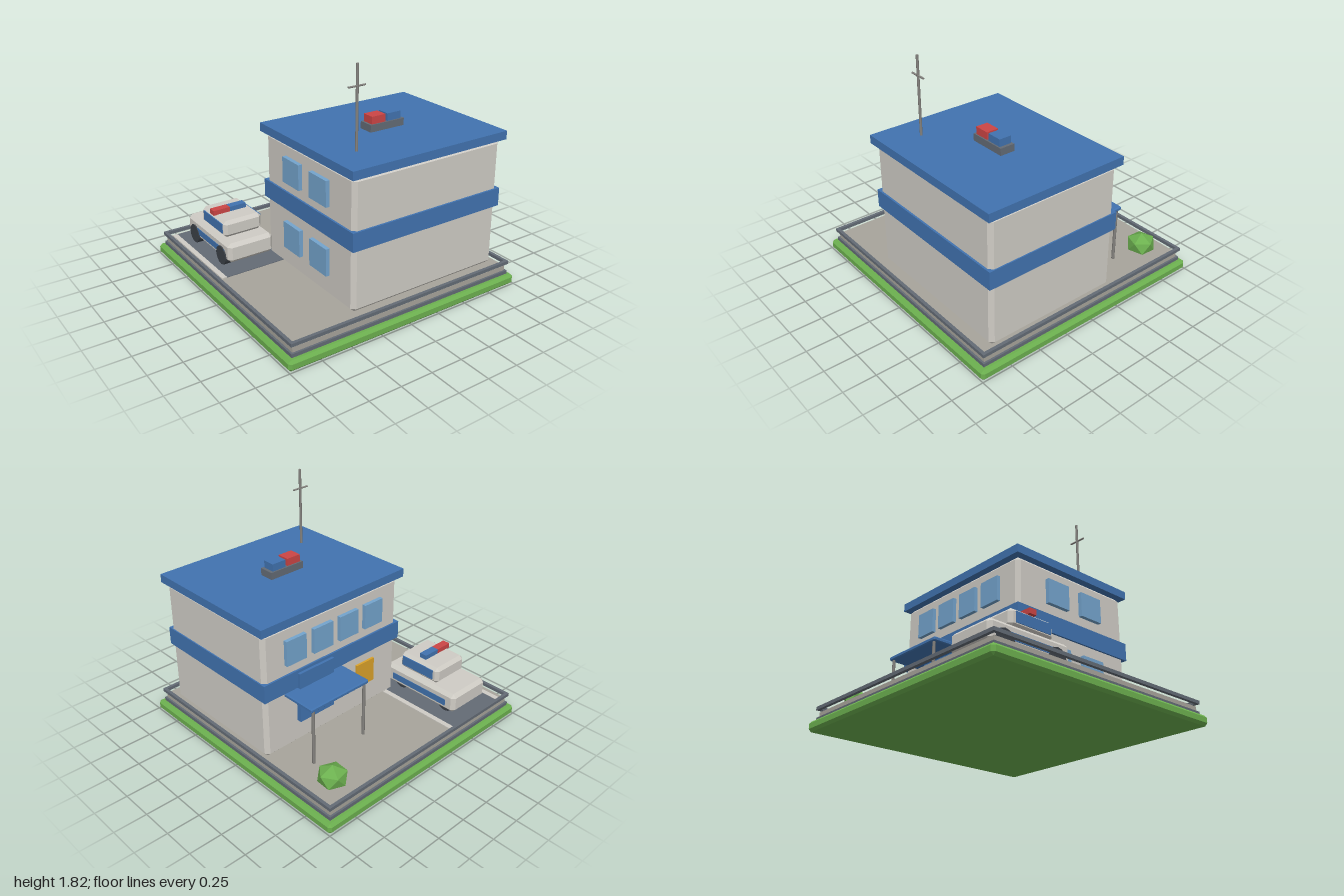
import * as THREE from 'three';
import { ConvexGeometry } from 'three/addons/geometries/ConvexGeometry.js';

const paint = (name, color) => {
  const m = new THREE.MeshStandardMaterial({ color });
  m.name = name;
  return m;
};

export function createModel() {
  const grass = paint('grass green', 0x6cb04f);
  const slate = paint('slate grey', 0x636b75);
  const paving = paint('paving grey', 0xa7a49b);
  const wall = paint('wall white', 0xcfccc5);
  const blue = paint('blue', 0x4173b0);
  const red = paint('red', 0xcc4545);
  const glass = paint('window glass', 0x74a4cd);
  const yellow = paint('yellow', 0xdba22a);
  const tyre = paint('tyre dark', 0x3c4148);
  const metal = paint('pole metal', 0x85837f);

  const model = new THREE.Group();
  model.name = 'station';
  const group = (name) => {
    const g = new THREE.Group();
    g.name = name;
    model.add(g);
    return g;
  };
  const add = (parent, name, geometry, material, x = 0, y = 0, z = 0) => {
    const m = new THREE.Mesh(geometry, material);
    m.name = name;
    m.position.set(x, y, z);
    parent.add(m);
    return m;
  };
  // Box given by its limits on each axis; a bevel cuts every edge flat
  const box = (parent, name, material, [x0, x1], [y0, y1], [z0, z1], bevel = 0) => {
    const half = [(x1 - x0) / 2, (y1 - y0) / 2, (z1 - z0) / 2];
    let geometry;
    if (bevel) {
      const points = [];
      for (const sx of [-1, 1]) for (const sy of [-1, 1]) for (const sz of [-1, 1])
        for (let full = 0; full < 3; full++) {
          const [x, y, z] = half.map((h, i) => (i === full ? h : h - bevel));
          points.push(new THREE.Vector3(sx * x, sy * y, sz * z));
        }
      geometry = new ConvexGeometry(points);
    } else geometry = new THREE.BoxGeometry(...half.map((h) => 2 * h));
    return add(parent, name, geometry, material, (x0 + x1) / 2, (y0 + y1) / 2, (z0 + z1) / 2);
  };
  const pole = (parent, name, r, x, y0, y1, z) =>
    add(parent, name, new THREE.CylinderGeometry(r, r, y1 - y0, 8), metal, x, (y0 + y1) / 2, z);

  // Stacked ground slabs
  const ground = group('ground');
  box(ground, 'lawnBase', grass, [-1, 1], [0, 0.08], [-1, 1], 0.02);
  box(ground, 'kerb', slate, [-0.96, 0.96], [0.08, 0.107], [-0.96, 0.96]);
  box(ground, 'pavement', paving, [-0.945, 0.945], [0.107, 0.146], [-0.945, 0.945]);

  // Perimeter rail
  for (const s of [-1, 1]) {
    const edge = [s * 0.9525 - 0.0125, s * 0.9525 + 0.0125];
    box(ground, 'railEnd', slate, [-0.965, 0.965], [0.163, 0.188], edge);
    box(ground, 'railSide', slate, edge, [0.163, 0.188], [-0.94, 0.94]);
  }

  // Parking bay
  box(ground, 'parkingPad', slate, [-0.865, -0.345], [0.14, 0.151], [-0.93, -0.08]);
  for (const x of [-0.905, -0.345])
    box(ground, 'parkingLine', wall, [x, x + 0.04], [0.14, 0.154], [-0.93, -0.08]);

  // Main building
  const building = group('building');
  box(building, 'walls', wall, [-0.4, 0.9], [0.146, 1.145], [-0.25, 0.85], 0.03);
  box(building, 'floorBand', blue, [-0.415, 0.91], [0.625, 0.765], [-0.265, 0.865]);
  box(building, 'roof', blue, [-0.432, 0.927], [1.145, 1.21], [-0.28, 0.88]);

  // Windows on the back and on the parking side
  for (const x of [0.625, 0.375, 0.125, -0.125])
    box(building, 'backWindow', glass, [x - 0.09, x + 0.09], [0.845, 1.04], [-0.28, -0.245]);
  for (const z of [0.13, 0.47])
    for (const [y0, y1] of [[0.845, 1.04], [0.32, 0.53]])
      box(building, 'sideWindow', glass, [-0.432, -0.395], [y0, y1], [z - 0.105, z + 0.105]);

  // Entrance
  box(building, 'entrancePanel', blue, [0.285, 0.61], [0.34, 0.742], [-0.287, -0.245]);
  box(building, 'noticeBoard', yellow, [-0.15, 0.03], [0.355, 0.55], [-0.268, -0.245]);
  box(building, 'canopy', blue, [0.172, 0.722], [0.587, 0.62], [-0.528, -0.24], 0.008);
  for (const x of [0.2, 0.69]) pole(building, 'canopyPost', 0.012, x, 0.146, 0.59, -0.508);

  // Roof beacon
  box(building, 'beaconBase', slate, [0.1, 0.4], [1.21, 1.265], [0.243, 0.362]);
  box(building, 'beaconRed', red, [0.118, 0.238], [1.265, 1.322], [0.255, 0.352]);
  box(building, 'beaconBlue', blue, [0.256, 0.376], [1.265, 1.322], [0.255, 0.352]);

  // Antenna
  pole(building, 'antennaMast', 0.01, -0.2, 1.21, 1.815, 0.6);
  pole(building, 'antennaBar', 0.007, -0.203, 1.593, 1.733, 0.6).rotation.z = Math.PI / 2;

  // Parked car
  const car = group('car');
  box(car, 'carBody', wall, [-0.795, -0.412], [0.195, 0.352], [-0.85, -0.16], 0.028);
  box(car, 'carCabin', wall, [-0.765, -0.443], [0.352, 0.485], [-0.655, -0.275], 0.026);
  for (const x of [-0.796, -0.411])
    box(car, 'carStripe', blue, [x - 0.003, x + 0.003], [0.238, 0.29], [-0.77, -0.24]);
  for (const x of [-0.766, -0.442])
    box(car, 'carSideWindow', blue, [x - 0.004, x + 0.004], [0.385, 0.462], [-0.61, -0.308]);
  box(car, 'carLightRed', red, [-0.77, -0.632], [0.483, 0.522], [-0.495, -0.435]);
  box(car, 'carLightBlue', blue, [-0.632, -0.493], [0.483, 0.522], [-0.495, -0.435]);
  for (const x of [-0.772, -0.495]) for (const z of [-0.728, -0.285])
    add(car, 'wheel', new THREE.CylinderGeometry(0.075, 0.075, 0.064, 12), tyre, x, 0.225, z)
      .rotation.z = Math.PI / 2;

  // Faceted bush with one corner pointing up
  const leaves = new THREE.IcosahedronGeometry(0.116, 0);
  leaves.rotateX(-Math.atan((1 + Math.sqrt(5)) / 2)).rotateY(0.25).scale(1, 0.78, 1);
  leaves.computeVertexNormals();
  add(model, 'bush', leaves, grass, 0.745, 0.21, -0.755);

  return model;
}
